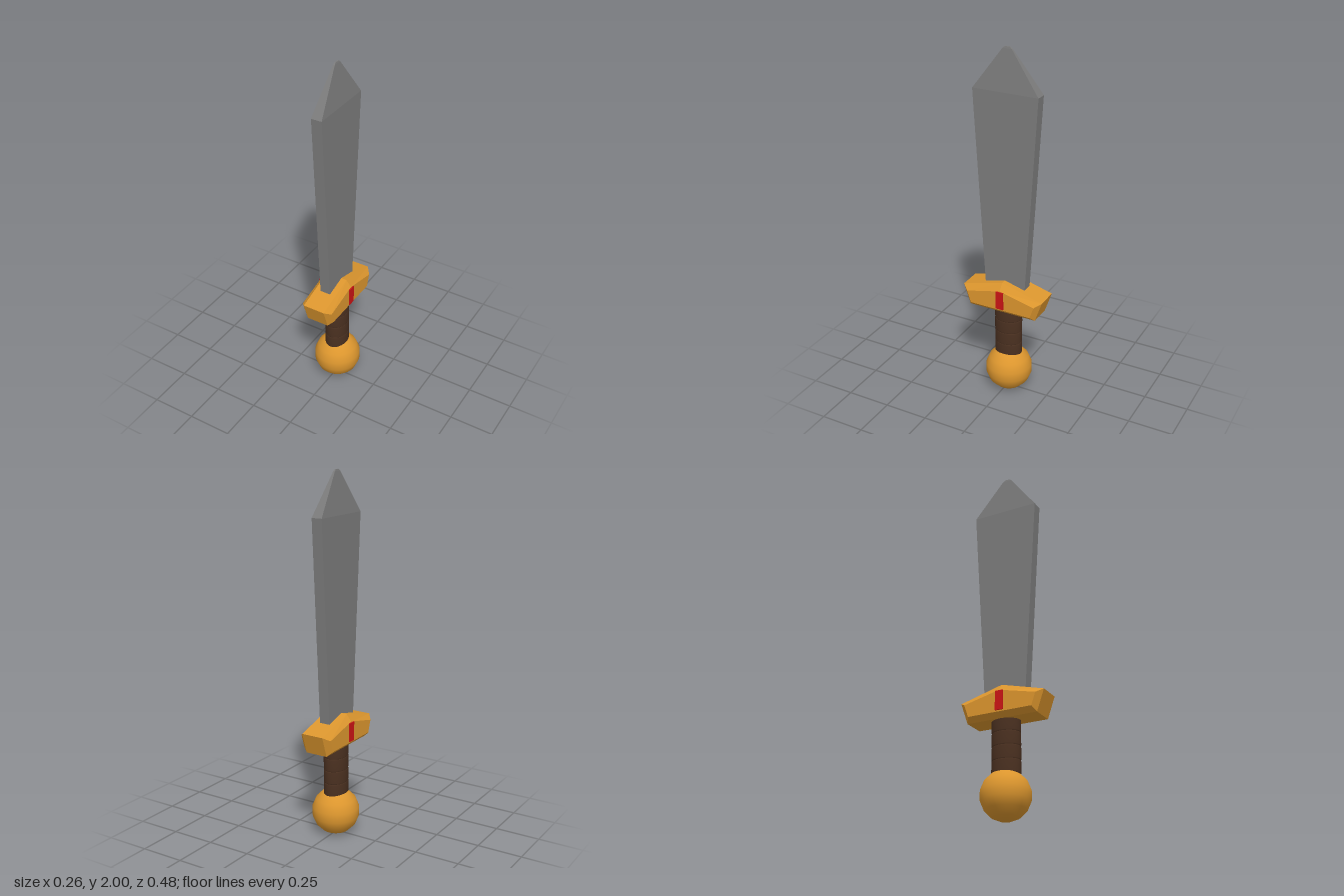
import * as THREE from 'three';

const material = (color, flatShading = false) => new THREE.MeshStandardMaterial({ color, flatShading });
const v2 = (x, y) => new THREE.Vector2(x, y);

// Joins closed loops of equal length (counter-clockwise seen from the far end) and caps both ends.
function loft(loops) {
  const n = loops[0].length;
  const index = [];
  for (let k = 0; k < loops.length - 1; k++) {
    for (let i = 0; i < n; i++) {
      const a = k * n + i, b = k * n + (i + 1) % n;
      index.push(a, b, b + n, a, b + n, a + n);
    }
  }
  const last = (loops.length - 1) * n;
  const outline = loops[0].map((p) => p.flat);
  for (const [a, b, c] of THREE.ShapeUtils.triangulateShape(outline, [])) {
    index.push(a, c, b, last + a, last + b, last + c);
  }
  const geometry = new THREE.BufferGeometry();
  geometry.setAttribute('position', new THREE.Float32BufferAttribute(loops.flat().flatMap((p) => p.pos), 3));
  geometry.setIndex(index);
  const result = geometry.toNonIndexed();
  result.computeVertexNormals();
  return result;
}

// Blade: rectangular sections that widen upward, then taper to a narrow tip.
function bladeGeometry() {
  const sections = [[0.62, 0.03, 0.117], [1.77, 0.03, 0.187], [1.99, 0.005, 0.026], [2, 0.003, 0.014]];
  return loft(sections.map(([y, hx, hz]) =>
    [[-1, 1], [1, 1], [1, -1], [-1, -1]].map(([sx, sz]) => ({
      pos: [sx * hx, y, sz * hz],
      flat: v2(sx * hx, -sz * hz),
    }))));
}

// Guard: chevron outline in the zy plane, bevelled towards both sides.
function guardGeometry() {
  const outer = [[0, 0.702], [-0.24, 0.637], [-0.2, 0.52], [0.2, 0.52], [0.24, 0.637]];
  const inner = [[0, 0.664], [-0.205, 0.615], [-0.182, 0.547], [0.182, 0.547], [0.205, 0.615]];
  const layers = [[-0.092, inner], [-0.063, outer], [0.063, outer], [0.092, inner]];
  // Reversed so the outline runs counter-clockwise around +x.
  return loft(layers.map(([x, outline]) => [...outline].reverse().map(([z, y]) => ({
    pos: [x, y, z],
    flat: v2(y, z),
  }))));
}

// Grip: stacked wraps divided by shallow grooves.
function gripGeometry() {
  const points = [];
  const bottom = 0.235, wrap = 0.0735;
  for (let i = 0; i < 4; i++) {
    const y = bottom + i * wrap;
    points.push(v2(0.96, y), v2(1, y + 0.006), v2(1, y + wrap - 0.006), v2(0.96, y + wrap));
  }
  return new THREE.LatheGeometry(points, 32).scale(0.063, 1, 0.079);
}

// Pommel: ball of broad horizontal bands with small flat poles.
function pommelGeometry() {
  const r = 0.132;
  const points = [v2(0, -r * Math.sin(1.3744))];
  for (let i = 0; i < 8; i++) {
    const a = THREE.MathUtils.degToRad(-78.75 + i * 22.5);
    points.push(v2(r * Math.cos(a), r * Math.sin(a)));
  }
  points.push(v2(0, r * Math.sin(1.3744)));
  return new THREE.LatheGeometry(points, 40);
}

export function createModel() {
  const group = new THREE.Group();
  const gold = 0xdc962e;
  const add = (name, geometry, mat, x = 0, y = 0, z = 0) => {
    const mesh = new THREE.Mesh(geometry, mat);
    mesh.name = name;
    mesh.position.set(x, y, z);
    group.add(mesh);
  };

  add('blade', bladeGeometry(), material(0x7c7c7c, true));
  add('guard', guardGeometry(), material(gold, true));
  add('grip', gripGeometry(), material(0x4a3020), 0, 0, -0.007);
  add('pommel', pommelGeometry(), material(gold), 0, 0.132, -0.01);

  // Red inlay on each side of the guard.
  for (const [side, name] of [[1, 'leftInlay'], [-1, 'rightInlay']]) {
    add(name, new THREE.BoxGeometry(0.02, 0.105, 0.044), material(0xcc1414), side * 0.088, 0.607, 0);
  }
  return group;
}
